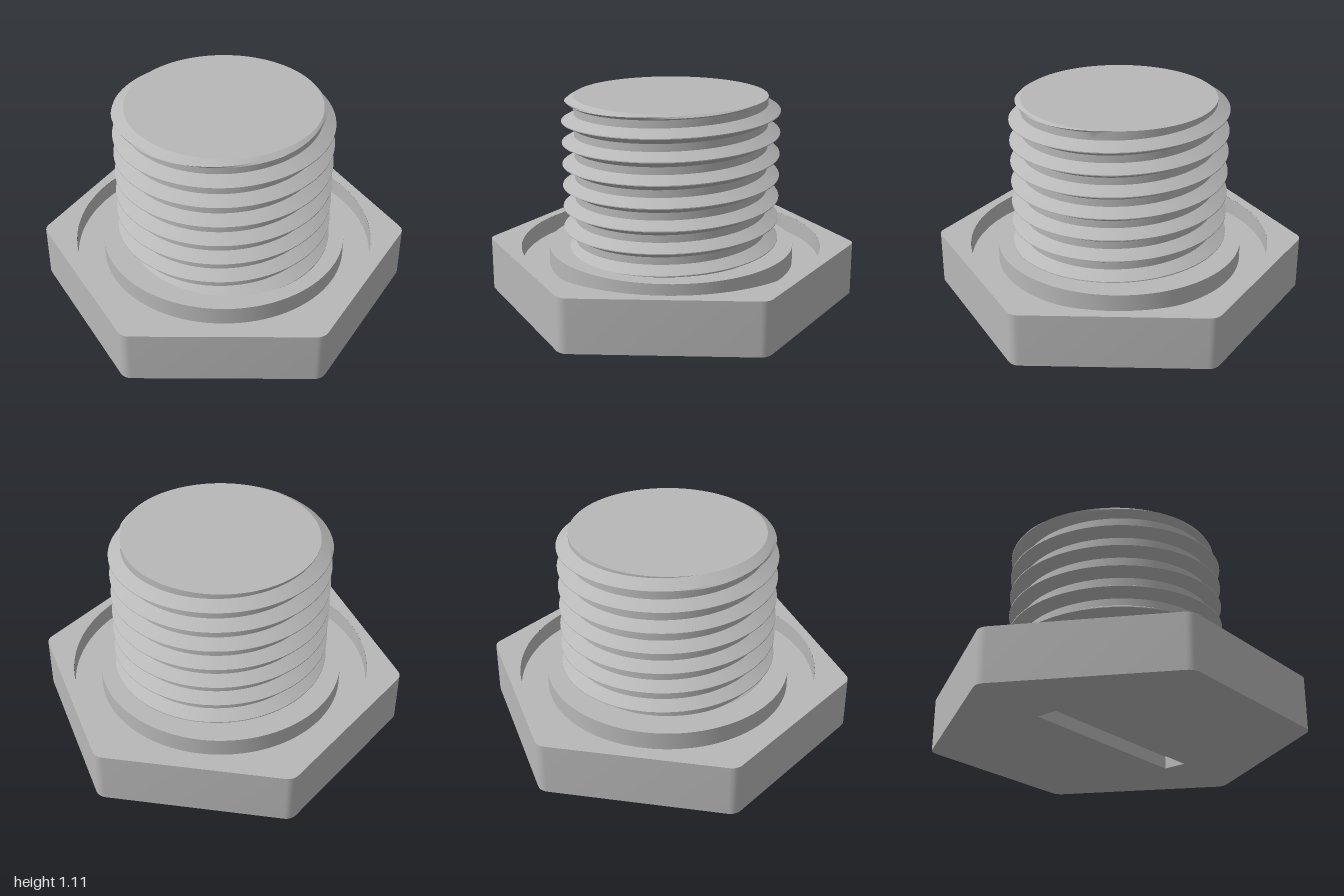
import * as THREE from 'three';
import { toCreasedNormals } from 'three/addons/utils/BufferGeometryUtils.js';

const HEAD_TOP = 0.29, TOP = 1.112, SEGMENTS = 96;
const PITCH = 0.118, ROOT = 0.52, CREST = 0.586, CREST_Y = 1.015;
const APOTHEM = 0.875, CORNER = 0.067;
const GROOVE = { inner: 0.67, outer: 0.82, floor: 0.19 };
const SLOT = { x: 0.525, z: 0.065, depth: 0.07 };

// Hexagon outline with rounded corners, pointing along x
function hexPoints() {
  const points = [], steps = 6;
  const reach = (APOTHEM - CORNER) / Math.cos(Math.PI / 6);
  for (let side = 0; side < 6; side++) {
    const middle = side * Math.PI / 3;
    for (let s = 0; s <= steps; s++) {
      const a = middle + (s / steps - 0.5) * Math.PI / 3;
      points.push(new THREE.Vector2(
        reach * Math.cos(middle) + CORNER * Math.cos(a),
        reach * Math.sin(middle) + CORNER * Math.sin(a)));
    }
  }
  return points;
}

function slotPoints() {
  return [[-1, -1], [1, -1], [1, 1], [-1, 1]].map(([x, z]) => new THREE.Vector2(x * SLOT.x, z * SLOT.z));
}

// Horizontal face at height y, looking up or down
function face(points, hole, y, up) {
  const shape = new THREE.Shape(points);
  if (hole) shape.holes.push(new THREE.Path(hole));
  return new THREE.ShapeGeometry(shape).rotateX(up ? -Math.PI / 2 : Math.PI / 2).translate(0, y, 0);
}

// Vertical wall along a closed outline; counterclockwise outlines face outward
function wall(points, y0, y1) {
  const pos = [];
  points.forEach((p, i) => {
    const q = points[(i + 1) % points.length];
    pos.push(p.x, y0, -p.y, q.x, y0, -q.y, q.x, y1, -q.y);
    pos.push(p.x, y0, -p.y, q.x, y1, -q.y, p.x, y1, -p.y);
  });
  const g = new THREE.BufferGeometry();
  g.setAttribute('position', new THREE.Float32BufferAttribute(pos, 3));
  return toCreasedNormals(g, 0.4);
}

// Radius of the helical thread, tapered off at the very top
function threadRadius(angle, y) {
  const turns = (y - CREST_Y) / PITCH - angle / (2 * Math.PI);
  const t = Math.abs(turns - Math.round(turns));
  const flank = THREE.MathUtils.clamp((0.33 - t) / 0.31, 0, 1);
  return Math.min(ROOT + (CREST - ROOT) * flank, ROOT + (TOP - y) * 1.7);
}

// Rows follow the helix and are clipped flat at both ends
function threadGeometry() {
  const pos = [], index = [], rows = [];
  const phases = [-0.33, -0.25, -0.175, -0.1, -0.02, 0.02, 0.1, 0.175, 0.25, 0.33];
  for (let turn = -8; turn <= 2; turn++) {
    for (const phase of phases) rows.push(CREST_Y + (turn + phase) * PITCH);
  }
  for (let i = 0; i <= SEGMENTS; i++) {
    const a = i / SEGMENTS * Math.PI * 2;
    for (const row of rows) {
      const y = THREE.MathUtils.clamp(row + PITCH * i / SEGMENTS, HEAD_TOP, TOP);
      const r = threadRadius(a, y);
      pos.push(r * Math.cos(a), y, -r * Math.sin(a));
    }
  }
  const n = rows.length;
  for (let i = 0; i < SEGMENTS; i++) {
    for (let j = 0; j < n - 1; j++) {
      const a = i * n + j, b = a + n;
      index.push(a, b, b + 1, a, b + 1, a + 1);
    }
  }
  const g = new THREE.BufferGeometry();
  g.setAttribute('position', new THREE.Float32BufferAttribute(pos, 3));
  g.setIndex(index);
  return toCreasedNormals(g, 0.5);
}

export function createModel() {
  const model = new THREE.Group();
  model.name = 'threadedPlug';
  const grey = new THREE.MeshStandardMaterial({ color: 0xb8b8b8 });
  grey.name = 'grey';
  const add = (name, geometry, parent) => {
    const mesh = new THREE.Mesh(geometry, grey);
    mesh.name = name;
    parent.add(mesh);
  };

  // Hexagonal head with a slot underneath and a ring groove on top
  const head = new THREE.Group();
  head.name = 'hexHead';
  model.add(head);
  const hex = hexPoints(), slot = slotPoints();
  const rim = new THREE.Path().absarc(0, 0, GROOVE.outer, 0, Math.PI * 2).getPoints(SEGMENTS);
  rim.pop();
  add('headSides', wall(hex, 0, HEAD_TOP), head);
  add('headRim', face(hex, rim, HEAD_TOP, true), head);
  add('headUnderside', face(hex, slot, 0, false), head);
  add('slotWalls', wall([...slot].reverse(), 0, SLOT.depth), head);
  add('slotRoof', face(slot, null, SLOT.depth, false), head);

  const profile = [
    [GROOVE.outer, HEAD_TOP], [GROOVE.outer, GROOVE.floor],
    [GROOVE.inner, GROOVE.floor], [GROOVE.inner, HEAD_TOP], [0.5, HEAD_TOP],
  ].map(([r, y]) => new THREE.Vector2(r, y));
  add('grooveAndCollar', toCreasedNormals(new THREE.LatheGeometry(profile, SEGMENTS), 0.5), head);

  // Threaded shank
  const shank = new THREE.Group();
  shank.name = 'shank';
  model.add(shank);
  add('thread', threadGeometry(), shank);
  add('shankEnd', new THREE.CircleGeometry(ROOT, SEGMENTS).rotateX(-Math.PI / 2).translate(0, TOP, 0), shank);

  return model;
}
